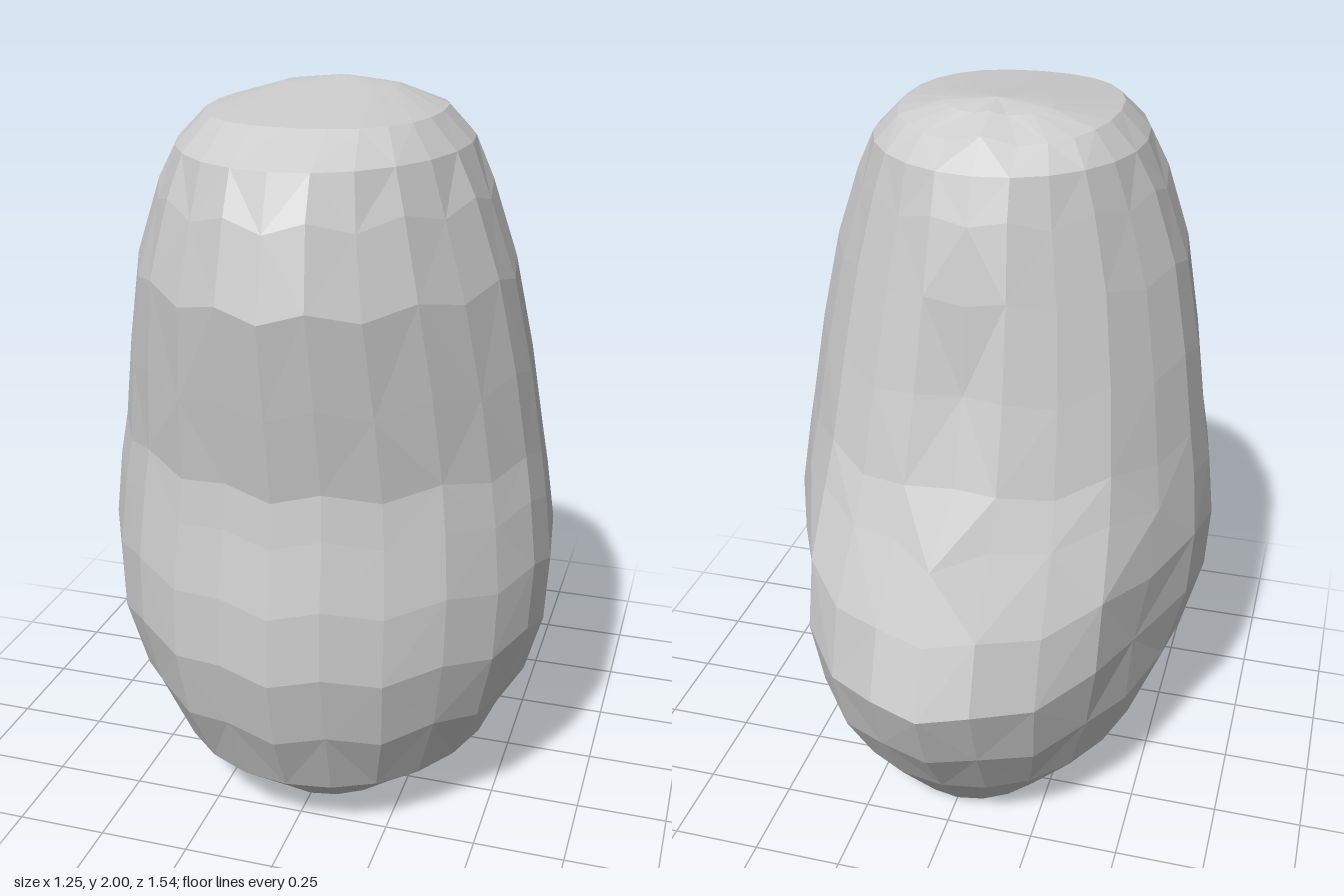
import * as THREE from 'three';

// Cross-sections of the body, bottom to top:
// [y, back z, front z, half width, z of widest point, corner power, z of the spine point]
// A power above 1 flattens the diagonals, below 1 squares the corners.
const SECTIONS = [
  [0.00, -0.40, 0.41, 0.285, 0.00, 1.0, -0.40],
  [0.18, -0.55, 0.625, 0.465, 0.08, 0.98, -0.55],
  [0.38, -0.69, 0.715, 0.56, 0.15, 1.05, -0.69],
  [0.58, -0.77, 0.76, 0.615, 0.20, 1.12, -0.77],
  [0.77, -0.70, 0.75, 0.625, 0.20, 1.14, -0.70],
  [0.95, -0.54, 0.715, 0.605, 0.20, 1.14, -0.62],
  [1.07, -0.455, 0.70, 0.585, 0.19, 1.14, -0.39],
  [1.30, -0.37, 0.735, 0.55, 0.20, 1.13, -0.30],
  [1.55, -0.30, 0.77, 0.50, 0.22, 1.12, -0.285],
  [1.75, -0.25, 0.72, 0.43, 0.22, 1.08, -0.25],
  [1.87, -0.21, 0.67, 0.375, 0.20, 1.0, -0.21],
  [1.945, -0.12, 0.53, 0.30, 0.20, 0.85, -0.12],
  [1.985, -0.03, 0.18, 0.15, 0.07, 0.9, -0.03],
];
const SIDES = 24;

function bodyPoint(section, i) {
  const [y, zb, zf, w, zc, power, spine] = section;
  // back centre: tail nub and the groove above it
  if (i === SIDES / 2) return [0, y, spine];
  const a = (i / SIDES) * Math.PI * 2;
  const s = Math.sin(a), c = Math.cos(a);
  const x = w * Math.sign(s) * Math.pow(Math.abs(s), power);
  const z = zc + (c > 0 ? zf - zc : zc - zb) * Math.sign(c) * Math.pow(Math.abs(c), power);
  // hollow on each flank, in front of the haunch
  const dent = Math.exp(-(((z + 0.27) / 0.13) ** 2) - (((y - 0.6) / 0.22) ** 2));
  // zigzag the middle rings for uneven facets
  const zigzag = y > 0.3 && y < 1.8 ? (i % 2 ? 0.015 : -0.015) : 0;
  // the top slopes down a little towards the back
  const drop = y > 1.9 ? Math.max(0, 0.05 - z) * 0.12 : 0;
  return [x * (1 - 0.09 * dent), y + zigzag - drop, z];
}

function bodyGeometry() {
  const positions = [], index = [];
  for (const section of SECTIONS)
    for (let i = 0; i < SIDES; i++) positions.push(...bodyPoint(section, i));

  // side faces, with diagonals mirrored left to right
  for (let j = 0; j < SECTIONS.length - 1; j++) {
    for (let i = 0; i < SIDES; i++) {
      const n = (i + 1) % SIDES;
      const a = j * SIDES + i, b = j * SIDES + n;
      const c = b + SIDES, d = a + SIDES;
      const left = i < SIDES / 2;
      const odd = ((left ? i : SIDES - 1 - i) + j) % 2 === 1;
      if (left === odd) index.push(a, b, c, a, c, d);
      else index.push(a, b, d, b, c, d);
    }
  }
  // flat base and low peaked top
  const base = positions.length / 3;
  positions.push(0, 0, 0, 0, 2, 0.05);
  const top = (SECTIONS.length - 1) * SIDES;
  for (let i = 0; i < SIDES; i++) {
    const n = (i + 1) % SIDES;
    index.push(base, n, i, base + 1, top + i, top + n);
  }
  const geometry = new THREE.BufferGeometry();
  geometry.setAttribute('position', new THREE.Float32BufferAttribute(positions, 3));
  geometry.setIndex(index);
  const flat = geometry.toNonIndexed();
  flat.computeVertexNormals();
  return flat;
}

export function createModel() {
  const group = new THREE.Group();
  group.name = 'lumpyBody';
  const material = new THREE.MeshStandardMaterial({ color: 0xcccccc, flatShading: true });
  const body = new THREE.Mesh(bodyGeometry(), material);
  body.name = 'body';
  group.add(body);
  return group;
}
